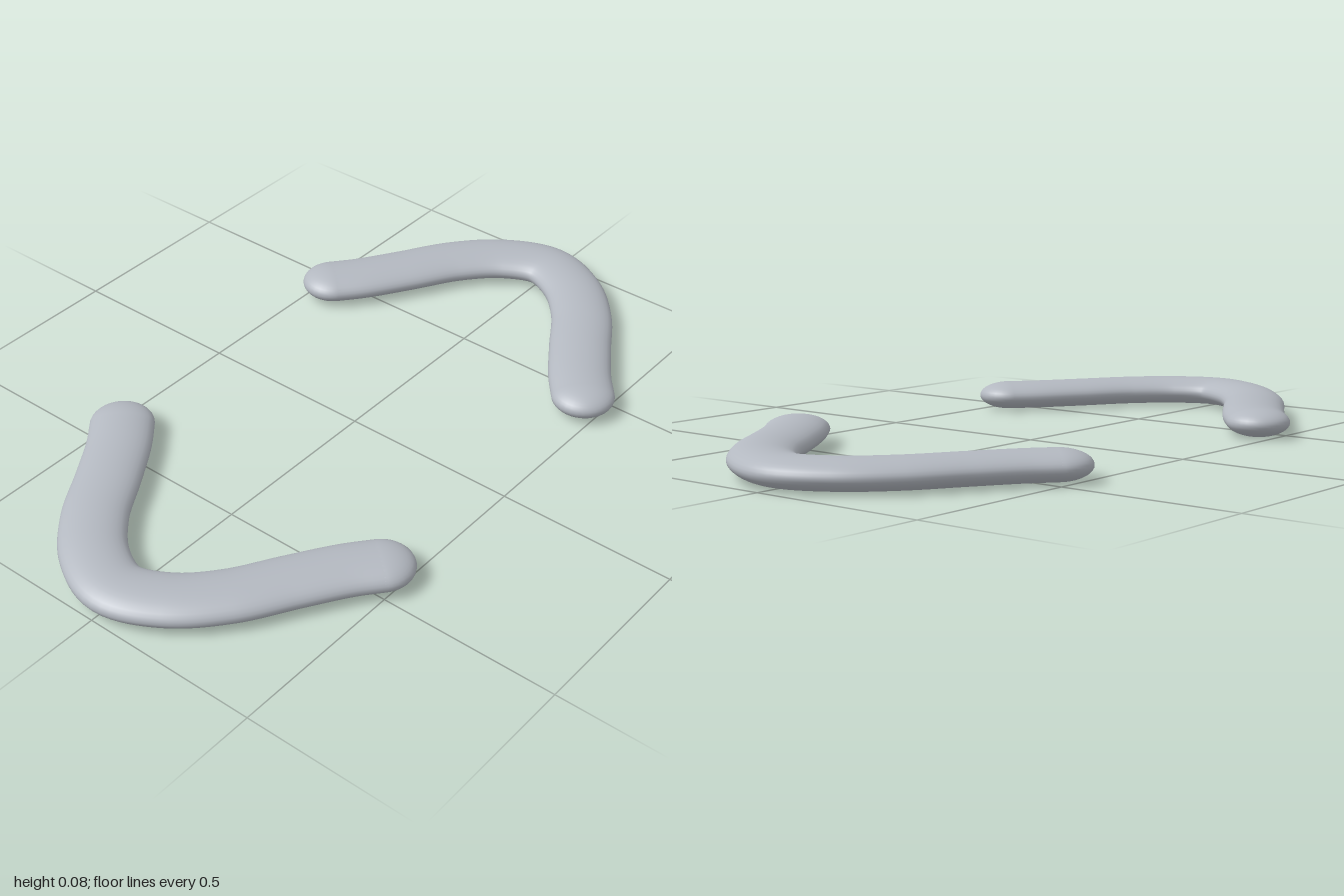
import * as THREE from 'three';

const RADIUS = 0.0875;
const HALF_HEIGHT = 0.04;

export function createModel() {
  const model = new THREE.Group();
  model.name = 'handlePair';
  const metal = new THREE.MeshStandardMaterial({ color: 0xb3b8c0 });
  metal.name = 'satin grey';

  // Half of the bent centreline, from the tip to just before the bend's apex
  const half = [[0.443, 0.445], [0.51, 0.39], [0.625, 0.314], [0.76, 0.228], [0.862, 0.125]];

  for (const side of [1, -1]) {
    const handle = new THREE.Group();
    handle.name = side > 0 ? 'leftHandle' : 'rightHandle';

    const path = [
      ...half.map(([x, z]) => [x, -z]),
      [0.9125, 0],
      ...half.slice().reverse(),
    ].map(([x, z]) => new THREE.Vector3(side * x, 0, z));

    // Flattened bent bar
    const barGeometry = new THREE.TubeGeometry(new THREE.CatmullRomCurve3(path), 80, RADIUS, 32);
    barGeometry.scale(1, HALF_HEIGHT / RADIUS, 1);
    const bar = new THREE.Mesh(barGeometry, metal);
    bar.name = 'bentBar';
    handle.add(bar);

    // Rounded tips
    for (const tip of [path[0], path[path.length - 1]]) {
      const capGeometry = new THREE.SphereGeometry(RADIUS, 32, 20);
      capGeometry.scale(1, HALF_HEIGHT / RADIUS, 1);
      const cap = new THREE.Mesh(capGeometry, metal);
      cap.name = 'roundedTip';
      cap.position.copy(tip);
      handle.add(cap);
    }

    handle.position.y = HALF_HEIGHT;
    model.add(handle);
  }
  return model;
}
